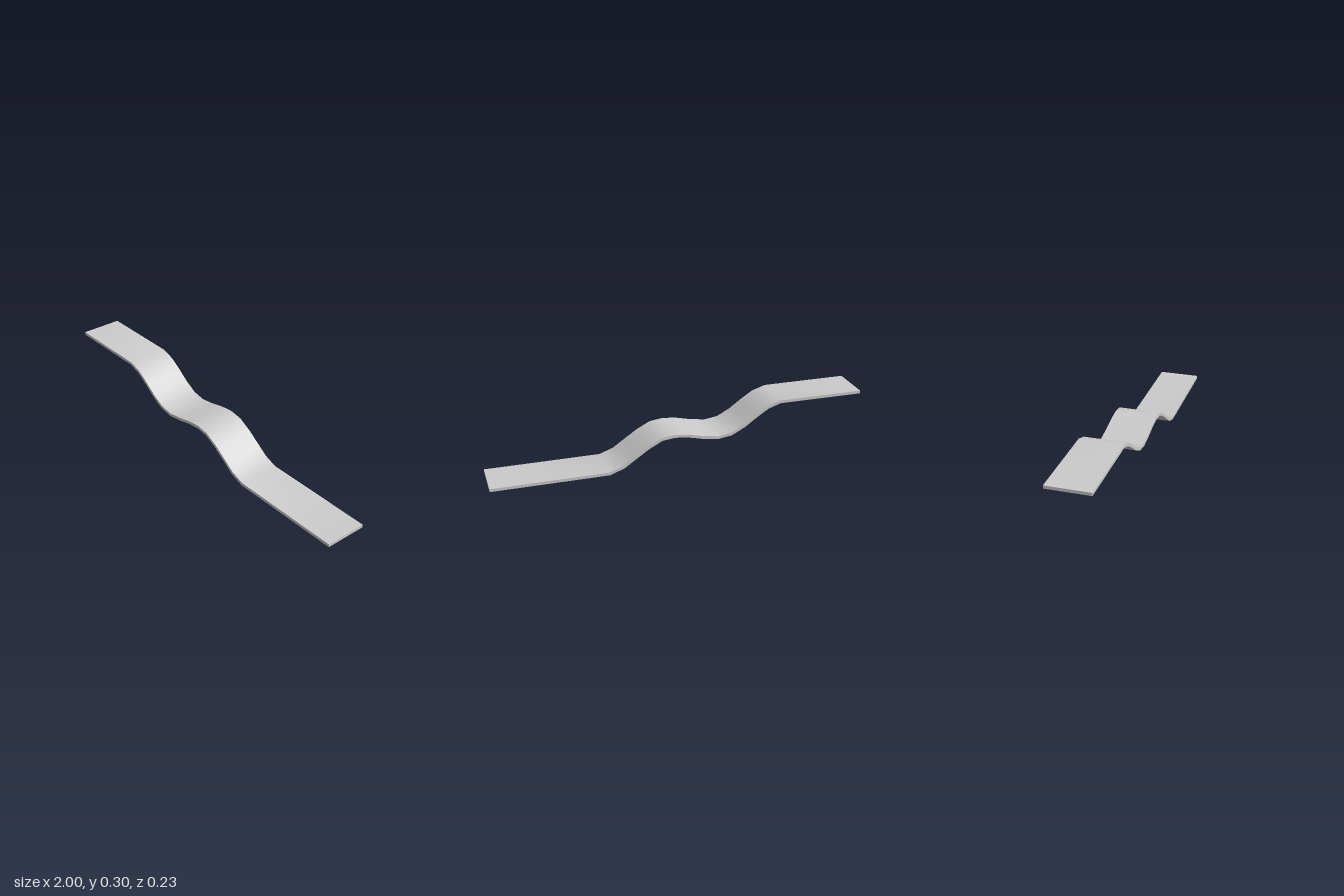
import * as THREE from 'three';
import { toCreasedNormals } from 'three/addons/utils/BufferGeometryUtils.js';

const THICKNESS = 0.016;
const WIDTH = 0.226;

// Centre line of the strip, from the high end to the low end
const PATH = [
  [-1, 0.292], [-0.54, 0.292], [-0.47, 0.269], [-0.405, 0.227], [-0.34, 0.18],
  [-0.27, 0.143], [-0.195, 0.132], [-0.115, 0.144], [-0.035, 0.163], [0.04, 0.172],
  [0.11, 0.163], [0.18, 0.127], [0.25, 0.08], [0.315, 0.035], [0.39, 0.008], [1, 0.008],
].map(([x, y]) => new THREE.Vector2(x, y));

// Mitred offset of the centre line, keeping the thickness constant
function offsetPath(distance) {
  const normal = (a, b) => {
    const d = b.clone().sub(a).normalize();
    return new THREE.Vector2(-d.y, d.x);
  };
  return PATH.map((p, i) => {
    const before = normal(PATH[Math.max(i - 1, 0)], PATH[Math.max(i, 1)]);
    const last = PATH.length - 1;
    const after = normal(PATH[Math.min(i, last - 1)], PATH[Math.min(i + 1, last)]);
    const miter = before.clone().add(after).normalize();
    return p.clone().addScaledVector(miter, distance / miter.dot(after));
  });
}

export function createModel() {
  const group = new THREE.Group();
  group.name = 'wavyStrip';

  // Side profile extruded across the width, smooth over the bends
  const outline = [...offsetPath(-THICKNESS / 2), ...offsetPath(THICKNESS / 2).reverse()];
  const extruded = new THREE.ExtrudeGeometry(new THREE.Shape(outline), {
    depth: WIDTH, bevelEnabled: false, steps: 1,
  });
  extruded.translate(0, 0, -WIDTH / 2);

  const strip = new THREE.Mesh(
    toCreasedNormals(extruded, Math.PI / 4),
    new THREE.MeshStandardMaterial({ color: 0xcccccc }),
  );
  strip.name = 'strip';
  group.add(strip);
  return group;
}
